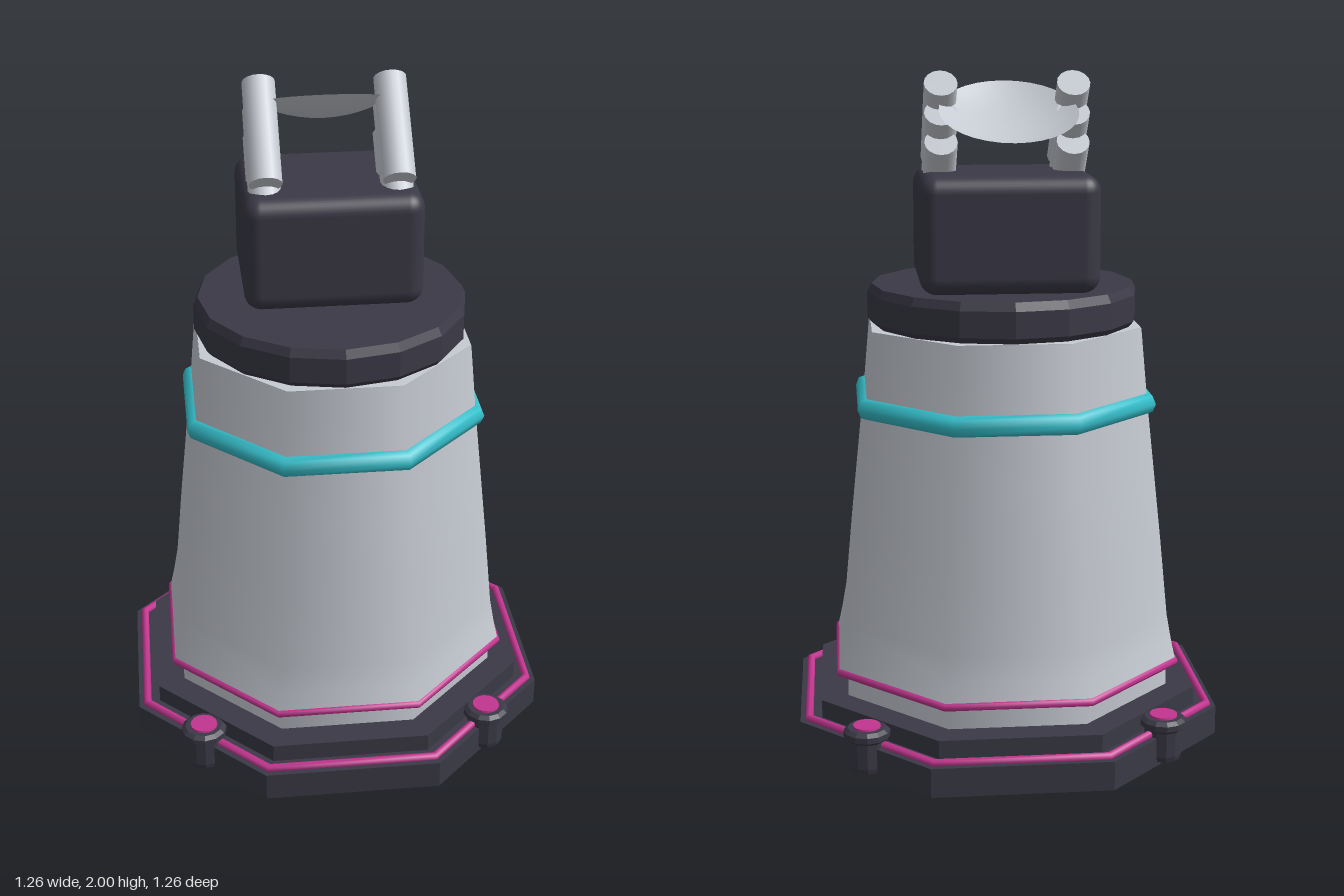
import * as THREE from 'three';
import { RoundedBoxGeometry } from 'three/addons/geometries/RoundedBoxGeometry.js';

const EIGHTH = Math.PI / 8;
const corner = (apothem) => apothem / Math.cos(EIGHTH);

function makeMaterial(name, color, options = {}) {
  const m = new THREE.MeshStandardMaterial({ color, ...options });
  m.name = name;
  return m;
}

export function createModel() {
  const model = new THREE.Group();
  model.name = 'turretTower';

  const dark = makeMaterial('charcoal', 0x3a3946, { flatShading: true });
  const darkSmooth = makeMaterial('charcoalSmooth', 0x3a3946);
  const light = makeMaterial('lightGrey', 0xc6cad2, { side: THREE.DoubleSide });
  const magenta = makeMaterial('magenta', 0xc2358f);
  const teal = makeMaterial('teal', 0x35bfcb);

  function add(name, geometry, material, x = 0, y = 0, z = 0, parent = model) {
    const mesh = new THREE.Mesh(geometry, material);
    mesh.name = name;
    mesh.position.set(x, y, z);
    parent.add(mesh);
    return mesh;
  }

  // Octagonal slab with flat sides facing the axes
  function slab(name, apothem, y0, y1, material) {
    const r = corner(apothem);
    const g = new THREE.CylinderGeometry(r, r, y1 - y0, 8).rotateY(EIGHTH);
    return add(name, g, material, 0, (y0 + y1) / 2);
  }

  // Octagonal rounded band
  function band(name, apothem, tube, y, material) {
    const g = new THREE.TorusGeometry(corner(apothem), tube, 8, 8);
    g.rotateX(Math.PI / 2).rotateY(EIGHTH);
    return add(name, g, material, 0, y);
  }

  function lathe(points, sides, start = 0) {
    return new THREE.LatheGeometry(points.map(([r, y]) => new THREE.Vector2(r, y)), sides, start);
  }

  // Stepped base
  slab('basePlate', 0.63, 0.003, 0.09, dark);
  slab('baseStep', 0.565, 0.05, 0.145, dark);
  slab('baseUnderside', 0.55, 0, 0.02, light);
  band('baseTrim', 0.603, 0.013, 0.095, magenta);

  // Corner posts with coloured caps
  const postShape = lathe([[0, 0.015], [0.052, 0.015], [0.056, 0.03], [0.056, 0.105],
    [0.068, 0.115], [0.068, 0.132], [0.056, 0.142], [0, 0.142]], 12);
  const capShape = new THREE.CylinderGeometry(0.04, 0.042, 0.012, 16);
  for (const x of [-0.435, 0.435]) {
    for (const z of [-0.435, 0.435]) {
      add('cornerPost', postShape, dark, x, 0, z);
      add('postCap', capShape, magenta, x, 0.142, z);
    }
  }

  // Tapering tower
  slab('towerFoot', 0.485, 0.14, 0.23, light);
  const profile = [[0.512, 0.225], [0.498, 0.29], [0.484, 0.37], [0.462, 0.6],
    [0.438, 0.83], [0.416, 1.04], [0.397, 1.25]];
  add('towerWall', lathe(profile.map(([a, y]) => [corner(a), y]), 8, EIGHTH), light);
  slab('towerTop', 0.396, 1.24, 1.251, light);
  band('towerFootTrim', 0.507, 0.013, 0.222, magenta);
  band('towerBand', 0.411, 0.033, 1.022, teal);

  // Bevelled sixteen-sided collar
  add('collar', lathe([[0, 1.25], [0.39, 1.25], [0.405, 1.268], [0.405, 1.345],
    [0.392, 1.37], [0, 1.37]], 16), dark);

  // Rounded head
  add('head', new RoundedBoxGeometry(0.52, 0.34, 0.435, 4, 0.05), darkSmooth, 0, 1.54, -0.073);

  // Three stacked tilted barrels on each side
  const barrel = new THREE.CylinderGeometry(0.048, 0.048, 0.32, 16).rotateX(-Math.PI / 4);
  for (const side of [-1, 1]) {
    const stack = new THREE.Group();
    stack.name = side > 0 ? 'leftBarrels' : 'rightBarrels';
    model.add(stack);
    for (let i = 0; i < 3; i++) add('barrel', barrel, light, side * 0.19, 1.85 - i * 0.083, -0.045, stack);
  }

  // Shallow dish, hollow side up and tilted to the back
  const R = 0.421, rimAngle = 0.493;
  const bowl = [];
  for (let i = 0; i <= 8; i++) {
    const a = rimAngle * i / 8;
    bowl.push([R * Math.sin(a), R * (Math.cos(rimAngle) - Math.cos(a))]);
  }
  const dish = add('dish', lathe(bowl, 32), light, 0, 1.887, -0.203);
  dish.rotation.x = -0.398;

  return model;
}
